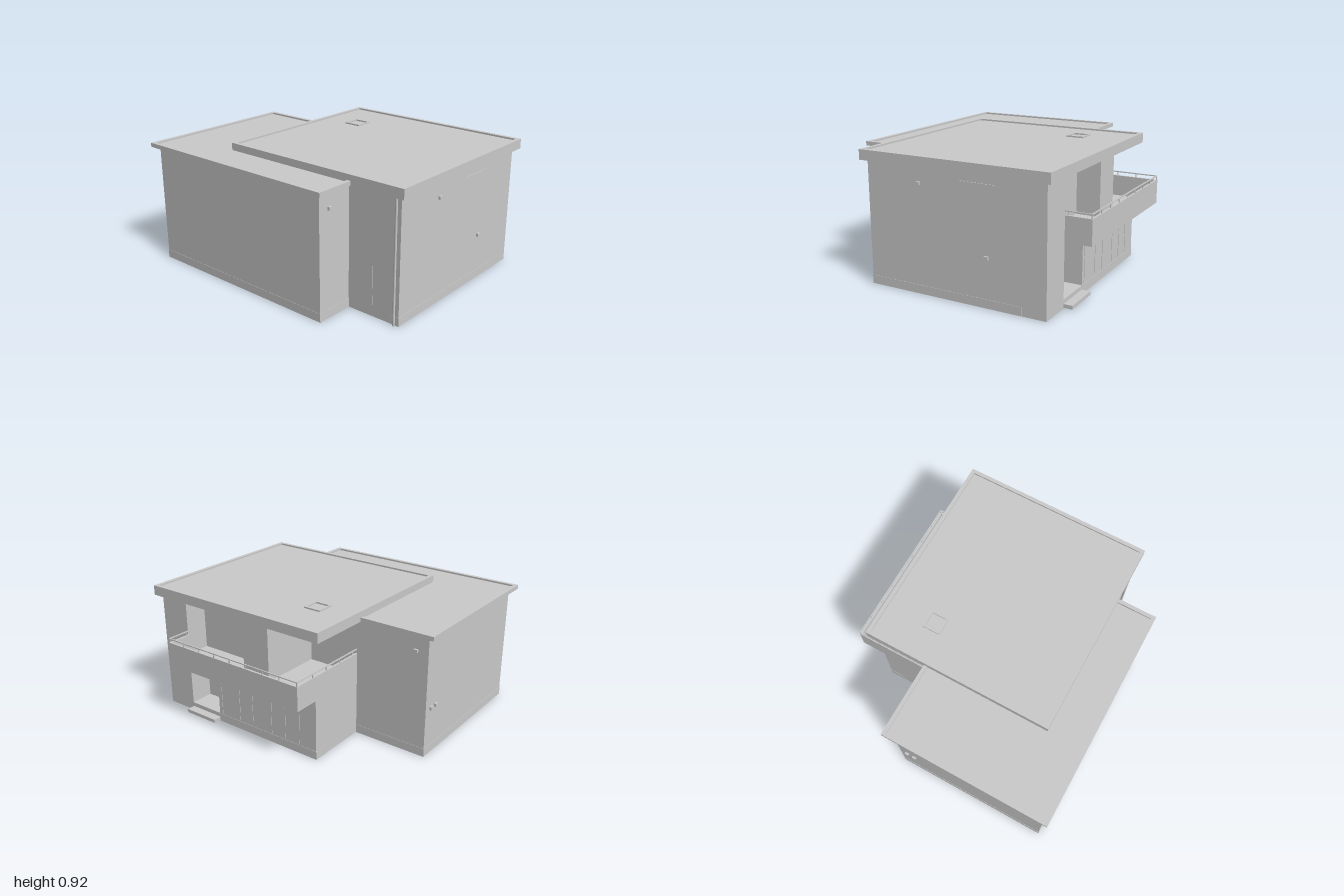
import * as THREE from 'three';

export function createModel() {
  const model = new THREE.Group();
  const material = new THREE.MeshStandardMaterial({ color: 0xcccccc });

  // Box given by its limits on each axis
  function block(name, x0, x1, y0, y1, z0, z1, parent = model) {
    const mesh = new THREE.Mesh(new THREE.BoxGeometry(x1 - x0, y1 - y0, z1 - z0), material);
    mesh.position.set((x0 + x1) / 2, (y0 + y1) / 2, (z0 + z1) / 2);
    mesh.name = name;
    parent.add(mesh);
    return mesh;
  }

  // Rectangular frame seen from above, extruded upward
  function frame(name, x0, x1, y0, y1, z0, z1, t, parent = model) {
    const rect = (P, d) => new P([[x0 + d, -z1 + d], [x1 - d, -z1 + d], [x1 - d, -z0 - d], [x0 + d, -z0 - d]]
      .map(p => new THREE.Vector2(...p)));
    const shape = rect(THREE.Shape, 0);
    shape.holes.push(rect(THREE.Path, t));
    const geometry = new THREE.ExtrudeGeometry(shape, { depth: y1 - y0, bevelEnabled: false });
    geometry.rotateX(-Math.PI / 2).translate(0, y0, 0);
    const mesh = new THREE.Mesh(geometry, material);
    mesh.name = name;
    parent.add(mesh);
  }

  // Flat roof with a raised edge
  function roof(name, x0, x1, y0, y1, z0, z1) {
    const group = new THREE.Group();
    group.name = name;
    block('roofDeck', x0 + 0.02, x1 - 0.02, y0, y1 - 0.012, z0 + 0.02, z1 - 0.02, group);
    frame('roofEdge', x0, x1, y0, y1, z0, z1, 0.027, group);
    model.add(group);
  }

  // Rear wing
  block('rearWingWalls', -0.86, 0.27, 0, 0.855, -0.95, 0.56);
  block('rearWingPlinth', -0.862, 0.272, 0, 0.06, -0.952, 0.562);
  roof('rearRoof', -0.9, 0.31, 0.85, 0.88, -1, 0.6);

  // Front wing, ground floor with a recessed entrance
  block('groundFloor', -0.585, 0.55, 0, 0.45, -0.41, 0.96);
  block('groundFloorSide', 0.55, 0.72, 0, 0.45, -0.41, 0.46);
  block('entranceFloor', 0.55, 0.72, 0, 0.06, 0.46, 0.73);
  block('entrancePier', 0.55, 0.72, 0, 0.855, 0.73, 0.96);
  block('entranceStep', 0.72, 0.78, 0.005, 0.03, 0.46, 0.73);
  block('frontPlinth', -0.587, 0.55, 0, 0.06, 0.9, 0.962);
  block('sidePlinth', 0.6, 0.722, 0, 0.06, -0.412, 0.459);
  block('door', 0.54, 0.553, 0.06, 0.33, 0.5, 0.64);

  // Front wing, upper floor with a terrace at the back corner
  block('upperFloor', -0.585, 0.55, 0.45, 0.855, -0.02, 0.96);
  block('upperBay', 0.55, 0.72, 0.45, 0.855, -0.02, 0.2);
  roof('frontRoof', -0.62, 0.76, 0.85, 0.92, -0.46, 1);
  frame('roofHatchFrame', 0.32, 0.45, 0.9, 0.918, -0.235, -0.105, 0.013);

  // Balcony
  block('balconyFloor', 0.55, 0.9, 0.43, 0.452, -0.41, 0.73);
  block('outerParapet', 0.885, 0.9, 0.43, 0.6, -0.41, 0.73);
  block('frontParapet', 0.72, 0.9, 0.43, 0.6, 0.715, 0.73);
  block('backParapet', 0.27, 0.9, 0.43, 0.6, -0.41, -0.395);

  // Handrail and posts
  block('outerRail', 0.89, 0.898, 0.624, 0.631, -0.408, 0.728);
  block('frontRail', 0.72, 0.898, 0.624, 0.631, 0.72, 0.728);
  block('backRail', 0.27, 0.898, 0.624, 0.631, -0.408, -0.4);
  for (let i = 0; i <= 8; i++) {
    const z = -0.404 + i * 0.141;
    block('railPost', 0.891, 0.897, 0.6, 0.625, z - 0.003, z + 0.003);
  }
  for (const x of [0.74, 0.6, 0.46, 0.32]) {
    block('railPost', x - 0.003, x + 0.003, 0.6, 0.625, -0.407, -0.401);
  }
  block('railPost', 0.737, 0.743, 0.6, 0.625, 0.721, 0.727);

  // Slim upright strips between the ground floor panels
  for (const z of [0.43, 0.26, 0.14, -0.03, -0.15, -0.27]) {
    block('panelStrip', 0.715, 0.723, 0.07, 0.355, z - 0.003, z + 0.003);
  }
  block('leftStrip', -0.589, -0.58, 0.08, 0.35, 0.75, 0.756);

  // Downpipe on the left wall
  const pipe = new THREE.Mesh(new THREE.CylinderGeometry(0.008, 0.008, 0.85, 12), material);
  pipe.name = 'downpipe';
  pipe.position.set(-0.595, 0.425, 0.93);
  model.add(pipe);

  // Small wall lamps: centre, and which axis they stick out along
  const lamps = [
    [-0.77, 0.74, 0.565, 'z'], [-0.185, 0.74, 0.965, 'z'], [0.31, 0.33, 0.965, 'z'],
    [0.21, 0.34, -0.955, 'z'], [0.15, 0.34, -0.955, 'z'],
    [0.275, 0.74, -0.86, 'x'], [0.555, 0.31, 0.67, 'x'],
  ];
  for (const [x, y, z, axis] of lamps) {
    const a = axis === 'x' ? 0.01 : 0.014, b = axis === 'x' ? 0.014 : 0.01;
    block('wallLamp', x - a, x + a, y - 0.011, y + 0.011, z - b, z + b);
  }

  // Thin ledge on the front wall
  block('wallLedge', 0.12, 0.37, 0.787, 0.792, 0.955, 0.965);
  return model;
}
